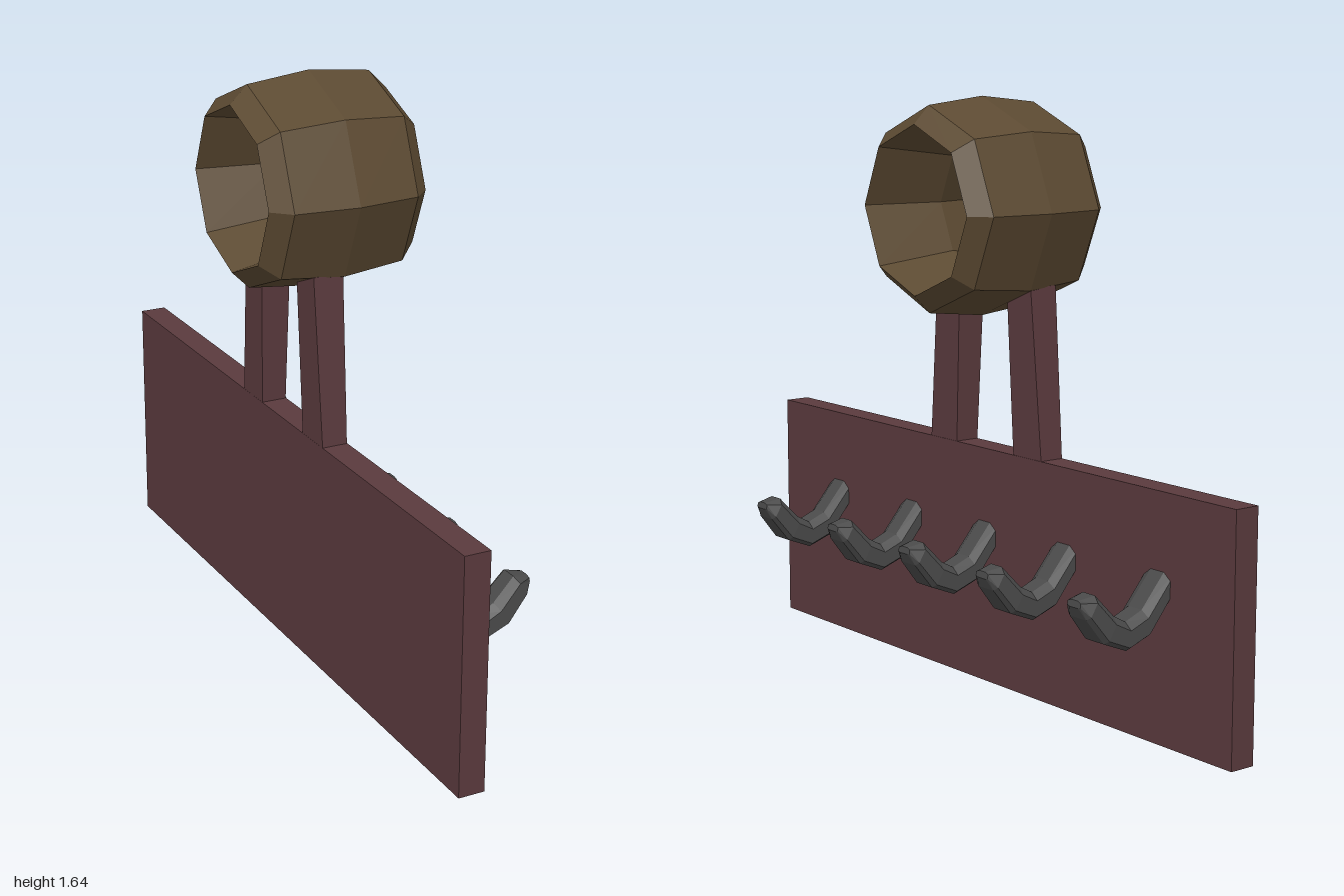
import * as THREE from 'three';

const wood = new THREE.MeshStandardMaterial({ color: 0x5a3a3d, flatShading: true });
const barrelWood = new THREE.MeshStandardMaterial({ color: 0x5c4a32, flatShading: true });
const iron = new THREE.MeshStandardMaterial({ color: 0x4a4a4a, flatShading: true });

// Hook stations along the bend: upper point, lower point, half width
const STATIONS = [
  [-0.05, 0.485, -0.05, 0.41, 0.05],
  [0.045, 0.375, 0.035, 0.305, 0.05],
  [0.10, 0.353, 0.105, 0.28, 0.05],
  [0.14, 0.375, 0.18, 0.31, 0.05],
  [0.20, 0.437, 0.235, 0.38, 0.045],
  [0.247, 0.428, 0.25, 0.41, 0.025],
];
// Chamfered section: height fraction, width fraction
const SECTION = [
  [1, -0.5], [1, 0.5], [0.75, 1], [0.15, 1],
  [0, 0.7], [0, -0.7], [0.15, -1], [0.75, -1],
];

function hookGeometry() {
  const n = SECTION.length, pos = [], idx = [];
  for (const [ux, uy, lx, ly, w] of STATIONS) {
    for (const [t, s] of SECTION) pos.push(lx + (ux - lx) * t, ly + (uy - ly) * t, s * w);
  }
  const last = (STATIONS.length - 1) * n;
  for (let i = 0; i < last; i += n) {
    for (let j = 0; j < n; j++) {
      const k = (j + 1) % n;
      idx.push(i + j, i + k, i + n + k, i + j, i + n + k, i + n + j);
    }
  }
  for (let j = 1; j < n - 1; j++) {
    idx.push(0, j + 1, j, last, last + j, last + j + 1);
  }
  const g = new THREE.BufferGeometry();
  g.setAttribute('position', new THREE.Float32BufferAttribute(pos, 3));
  g.setIndex(idx);
  g.computeVertexNormals();
  return g;
}

// Leaning post: bottom and top rectangles differ
function postGeometry(side) {
  const g = new THREE.BoxGeometry(1, 1, 1);
  const p = g.attributes.position;
  for (let i = 0; i < p.count; i++) {
    const top = p.getY(i) > 0, outer = p.getZ(i) * side > 0, front = p.getX(i) > 0;
    const x = front ? (top ? -0.024 : -0.031) : (top ? -0.111 : -0.104);
    const z = outer ? (top ? 0.208 : 0.248) : (top ? 0.105 : 0.128);
    p.setXYZ(i, x, top ? 1.14 : 0.66, z * side);
  }
  g.computeVertexNormals();
  return g;
}

export function createModel() {
  const group = new THREE.Group();
  const add = (name, geometry, material) => {
    const mesh = new THREE.Mesh(geometry, material);
    mesh.name = name;
    group.add(mesh);
    return mesh;
  };

  // Back board
  add('board', new THREE.BoxGeometry(0.075, 0.67, 2), wood).position.set(-0.067, 0.335, 0);

  // Two posts carrying the barrel
  add('leftPost', postGeometry(1), wood);
  add('rightPost', postGeometry(-1), wood);

  // Open eight-sided barrel, lying along x, narrowing inside to the middle
  const profile = [
    [0.23, -0.23], [0.28, -0.18], [0.30, 0], [0.28, 0.18],
    [0.23, 0.23], [0.187, 0], [0.23, -0.23],
  ].map(([r, h]) => new THREE.Vector2(r, h));
  const barrel = new THREE.LatheGeometry(profile, 8).rotateZ(-Math.PI / 2);
  add('barrel', barrel, barrelWood).position.set(-0.021, 1.344, 0);

  // Row of hooks
  const hook = hookGeometry();
  [-0.717, -0.345, 0, 0.345, 0.717].forEach((z, i) => {
    add('hook' + (i + 1), hook, iron).position.z = z;
  });

  return group;
}
